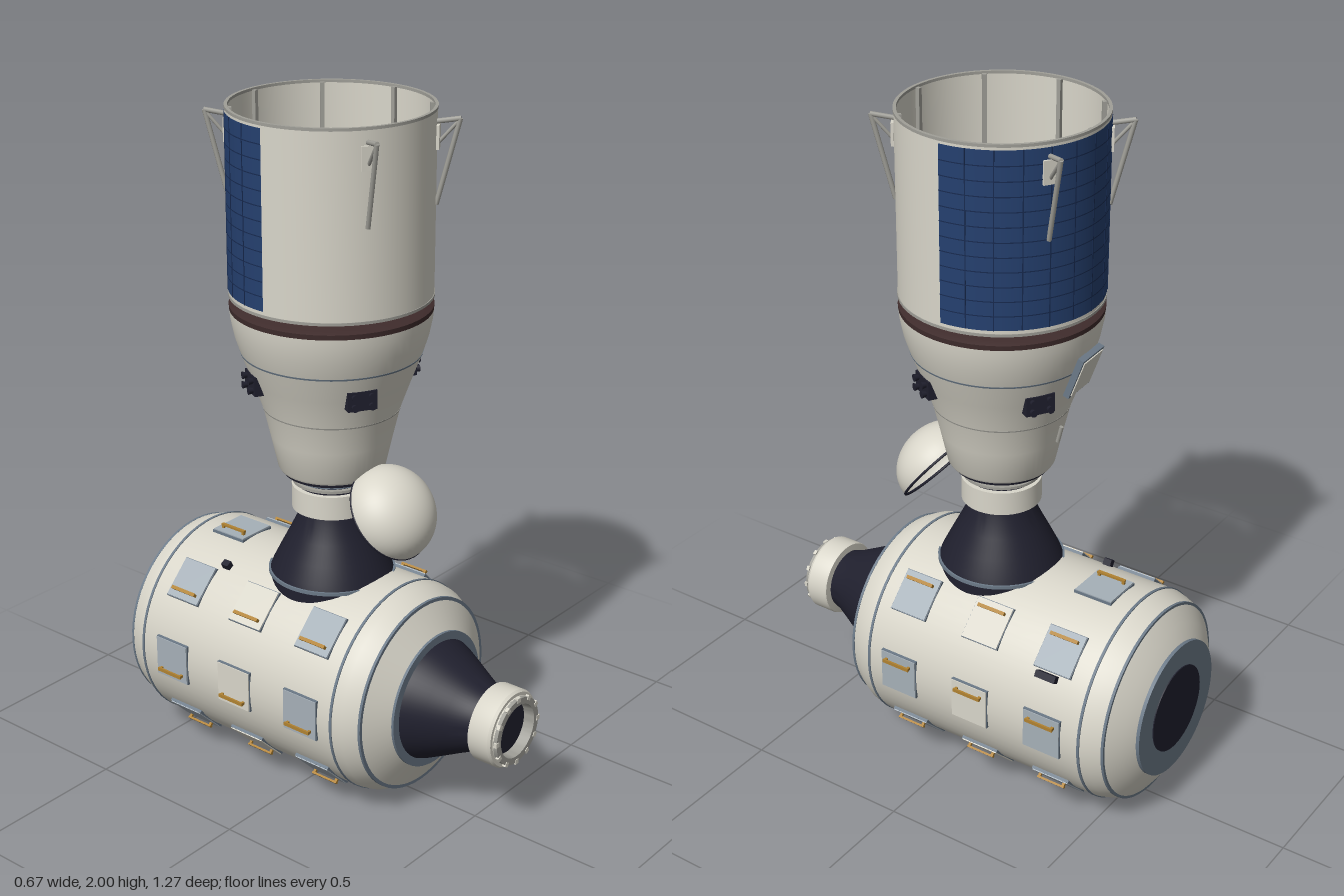
import * as THREE from 'three';
import { toCreasedNormals } from 'three/addons/utils/BufferGeometryUtils.js';

const AXIS_Z = -0.033;  // vertical stack position
const BARREL_Y = 0.335; // barrel axis height

export function createModel() {
  const model = new THREE.Group();
  const mat = (name, color, side = THREE.FrontSide) => {
    const m = new THREE.MeshStandardMaterial({ color, side });
    m.name = name;
    return m;
  };
  const white = mat('warm white', 0xd9d6ca, THREE.DoubleSide);
  const dark = mat('dark navy', 0x20202e);
  const grey = mat('slate grey', 0x6c7a88);
  const pale = mat('pale blue grey', 0xa6b0b8);
  const brown = mat('heat shield brown', 0x3f2c2c);
  const blue = mat('solar blue', 0x25406f);
  const line = mat('solar line', 0x172a50);
  const gold = mat('handrail gold', 0xb08232);
  const metal = mat('strut grey', 0xa09f98);

  const add = (parent, name, geo, material, x = 0, y = 0, z = 0) => {
    const m = new THREE.Mesh(geo, material);
    m.name = name;
    m.position.set(x, y, z);
    parent.add(m);
    return m;
  };
  const box = (parent, name, w, h, d, material, x, y, z) =>
    add(parent, name, new THREE.BoxGeometry(w, h, d), material, x, y, z);
  // Profile of [radius, height] pairs, running upward on the outside
  const lathe = (parent, name, pts, material, start = 0, length = Math.PI * 2) =>
    add(parent, name, toCreasedNormals(new THREE.LatheGeometry(
      pts.map(p => new THREE.Vector2(...p)), 64, start, length), 0.4), material);
  const band = (parent, name, r1, y1, r2, y2, material) =>
    lathe(parent, name, [[0, y1], [r1, y1], [r2, y2], [0, y2]], material);
  const group = (parent, name) => {
    const g = new THREE.Group();
    g.name = name;
    parent.add(g);
    return g;
  };
  const rod = (parent, name, a, b, r, material) => {
    const p = new THREE.Vector3(...a), q = new THREE.Vector3(...b), d = q.clone().sub(p);
    const m = add(parent, name, new THREE.CylinderGeometry(r, r, d.length(), 8), material);
    m.position.copy(p).add(q).multiplyScalar(0.5);
    m.quaternion.setFromUnitVectors(new THREE.Vector3(0, 1, 0), d.normalize());
    return m;
  };

  // Horizontal barrel module: lathes made upright, then turned so height runs along z
  const barrel = group(model, 'barrelModule');
  barrel.position.y = BARREL_Y;
  const axial = group(barrel, 'barrelShell');
  axial.rotation.x = Math.PI / 2;
  lathe(axial, 'hull', [[0, -0.625], [0.2, -0.625], [0.245, -0.603], [0.293, -0.57], [0.307, -0.535],
    [0.315, -0.505], [0.315, 0.22], [0.309, 0.255], [0.285, 0.3], [0.2, 0.35], [0, 0.35]], white);
  band(axial, 'rearRing', 0.203, -0.634, 0.203, -0.615, grey);
  band(axial, 'rearHatch', 0.13, -0.637, 0.13, -0.63, dark);
  band(axial, 'frontRing', 0.203, 0.335, 0.203, 0.356, grey);
  [[0.295, -0.57], [0.317, -0.505], [0.317, 0.22], [0.288, 0.3]].forEach(([r, z]) =>
    band(axial, 'hullSeam', r, z - 0.004, r, z + 0.004, grey));
  const cone = [[0.18, 0], [0.172, 0.02], [0.15, 0.065], [0.122, 0.12], [0.1, 0.165], [0.09, 0.2]];
  lathe(axial, 'frontCone', cone.map(([r, h]) => [r, h + 0.352]), dark);
  lathe(axial, 'frontPort', [[0.085, 0.543], [0.113, 0.545], [0.115, 0.55], [0.115, 0.612], [0.11, 0.62],
    [0.1, 0.62], [0.1, 0.624]], white);
  lathe(axial, 'frontPortRim', [[0.1, 0.622], [0.1, 0.635], [0.08, 0.635], [0.078, 0.6]], metal);
  band(axial, 'frontPortHatch', 0.079, 0.595, 0.079, 0.602, dark);
  for (let i = 0; i < 12; i++) {
    const a = i * Math.PI / 6;
    box(barrel, 'portLatch', 0.014, 0.014, 0.01, white, 0.098 * Math.cos(a), 0.098 * Math.sin(a), 0.632)
      .rotation.z = a;
  }

  // Panels with handrails, eight rows round the barrel
  for (let i = 0; i < 8; i++) {
    const row = group(barrel, 'panelRow');
    row.rotation.z = i * Math.PI / 4;
    [0.11, -0.14, -0.385].forEach((z, k) => {
      if (i === 2 && k < 2) return; // space taken by the top docking cone
      box(row, 'panelFrame', 0.012, 0.126, 0.122, grey, 0.311, 0, z);
      box(row, 'panel', 0.016, 0.122, 0.118, k === 1 ? white : pale, 0.312, 0, z);
      box(row, 'handrail', 0.006, 0.01, 0.09, gold, 0.331, 0.038, z);
      for (const s of [-1, 1]) box(row, 'handrailPost', 0.016, 0.008, 0.008, gold, 0.324, 0.038, z + s * 0.04);
    });
  }
  for (const [a, z] of [[0.54, -0.375], [2.09, -0.3]]) {
    const g = group(barrel, 'sensor');
    g.rotation.z = a;
    box(g, 'sensorBody', 0.025, 0.02, a < 1 ? 0.065 : 0.025, dark, 0.322, 0, z);
  }

  // Vertical stack
  const stack = group(model, 'verticalStack');
  stack.position.z = AXIS_Z;
  band(stack, 'topConeFlange', 0.178, 0.58, 0.178, 0.637, dark);
  band(stack, 'topConeRing', 0.184, 0.63, 0.184, 0.64, grey);
  lathe(stack, 'topCone', cone.map(([r, h]) => [r, h + 0.635]), dark);
  band(stack, 'dockingNeck', 0.115, 0.835, 0.115, 0.905, white);
  band(stack, 'dockingGap', 0.1, 0.9, 0.1, 0.95, dark);
  band(stack, 'dockingRing', 0.113, 0.915, 0.113, 0.923, metal);
  band(stack, 'dockingRing', 0.113, 0.93, 0.113, 0.945, grey);

  // Capsule
  band(stack, 'capsuleCollar', 0.138, 0.945, 0.142, 0.962, dark);
  lathe(stack, 'capsule', [[0, 0.957], [0.148, 0.957], [0.153, 0.965], [0.174, 1.06], [0.194, 1.145],
    [0.226, 1.235], [0.254, 1.31], [0.27, 1.36], [0.28, 1.41], [0.282, 1.435], [0, 1.435]], white);
  band(stack, 'capsuleSeam', 0.1945, 1.143, 0.1955, 1.147, metal);
  band(stack, 'capsuleSeam', 0.2545, 1.308, 0.256, 1.313, grey);
  lathe(stack, 'heatShield', [[0.282, 1.434], [0.283, 1.448], [0.265, 1.455], [0.16, 1.463], [0, 1.467]], brown);
  box(stack, 'shieldBox', 0.34, 0.02, 0.2, pale, 0, 1.464, -0.007);
  for (const s of [-1, 1]) box(stack, 'shieldBoxStrap', 0.016, 0.006, 0.2, dark, s * 0.127, 1.475, -0.007);

  // Thruster clusters, four round the capsule
  for (let i = 0; i < 4; i++) {
    const g = group(stack, 'thrusterCluster');
    g.rotation.y = Math.PI / 3 + i * Math.PI / 2;
    box(g, 'thrusterBlock', 0.085, 0.055, 0.035, dark, 0, 1.24, 0.223);
    for (const x of [-0.025, 0.025]) for (const y of [-0.014, 0.014])
      add(g, 'nozzle', new THREE.CylinderGeometry(0.007, 0.011, 0.016, 10), dark, x, 1.24 + y, 0.246)
        .rotation.x = -Math.PI / 2;
  }

  // Side hatch and handle at the back
  const back = group(stack, 'sideHatch');
  back.rotation.y = Math.PI + 0.06;
  const hatch = group(back, 'hatchPlate');
  hatch.position.set(0, 1.3, 0.256);
  hatch.rotation.x = 0.35;
  box(hatch, 'hatchFrame', 0.115, 0.13, 0.018, grey, 0, 0, 0);
  box(hatch, 'hatchDoor', 0.1, 0.115, 0.022, white, 0, 0, 0.001);
  rod(back, 'handle', [0, 1.06, 0.18], [0, 1.11, 0.192], 0.006, metal);

  // Open service skirt with solar cells on its rear half
  lathe(stack, 'serviceSkirt', [[0.276, 1.477], [0.282, 1.477], [0.282, 1.998], [0.276, 1.998], [0.276, 1.477]], white);
  for (const y of [1.474, 1.992])
    lathe(stack, 'skirtRim', [[0.275, y], [0.284, y], [0.284, y + 0.008], [0.275, y + 0.008], [0.275, y]], metal);
  const half = [Math.PI / 2, Math.PI];
  lathe(stack, 'solarCells', [[0.2838, 1.492], [0.2838, 1.985]], blue, ...half);
  for (let i = 1; i < 12; i++) {
    const y = 1.492 + i * 0.041;
    lathe(stack, 'cellRow', [[0.2848, y - 0.0015], [0.2848, y + 0.0015]], line, ...half);
  }
  for (let i = 1; i < 12; i++) {
    const g = group(stack, 'cellColumn');
    g.rotation.y = Math.PI / 2 + i * Math.PI / 12;
    box(g, 'cellColumnLine', 0.003, 0.493, 0.002, line, 0, 1.7385, 0.284);
  }
  for (let i = 0; i < 8; i++) {
    const g = group(stack, 'skirtRib');
    g.rotation.y = i * Math.PI / 4;
    box(g, 'rib', 0.012, 0.515, 0.012, metal, 0, 1.737, 0.27);
  }

  // Triangular brackets near the skirt top
  for (const a of [0.54, -0.54, Math.PI + 0.54, Math.PI - 0.54]) {
    const g = group(stack, 'bracket');
    g.rotation.y = a;
    rod(g, 'bracketStrut', [0, 1.735, 0.283], [0, 1.97, 0.343], 0.007, metal);
    rod(g, 'bracketArm', [0, 1.96, 0.28], [0, 1.97, 0.345], 0.007, metal);
    rod(g, 'bracketBrace', [0, 1.9, 0.283], [0, 1.962, 0.338], 0.005, metal);
    box(g, 'bracketFoot', 0.04, 0.065, 0.008, white, 0, 1.92, 0.286);
  }

  // Open domed nose cover on a hinge
  const cover = group(model, 'noseCover');
  cover.position.set(0, 0.868, 0.178);
  cover.rotation.x = 0.91;
  const dome = add(cover, 'coverDome', new THREE.SphereGeometry(0.14, 48, 20, 0, Math.PI * 2, 0, Math.PI / 2), white);
  dome.scale.y = 0.85;
  const rim = add(cover, 'coverRim', new THREE.TorusGeometry(0.138, 0.004, 8, 48), dark);
  rim.rotation.x = Math.PI / 2;
  box(model, 'coverHinge', 0.05, 0.02, 0.035, metal, 0, 0.95, 0.09);

  return model;
}
